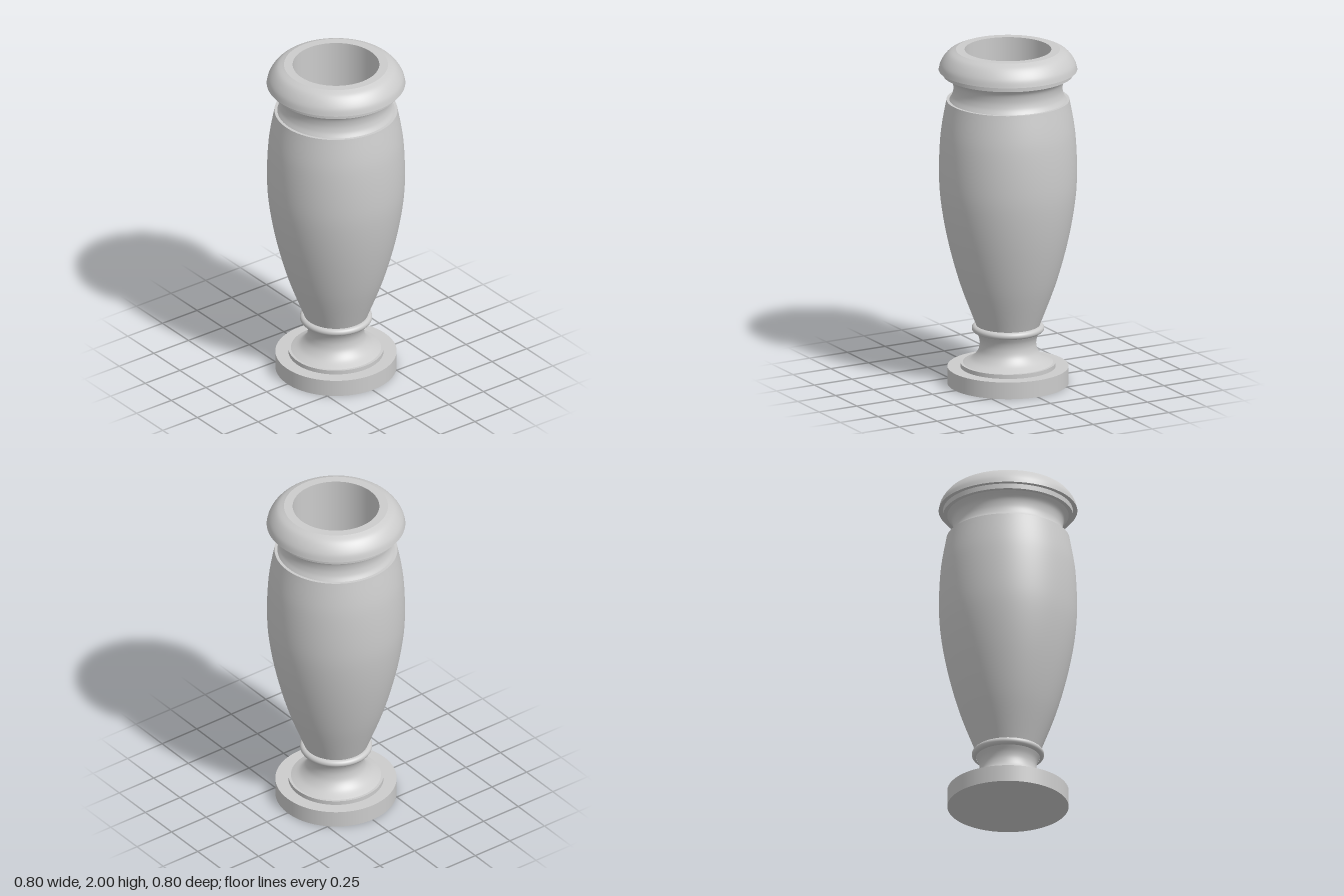
import * as THREE from 'three';

const SEGMENTS = 96;
const material = new THREE.MeshStandardMaterial({ color: 0xcccccc });

// Revolves one smooth run of [radius, height] points; runs go up the outside and down the inside.
function revolve(points, samples) {
  let profile = points.map(([r, y]) => new THREE.Vector2(r, y));
  if (samples) profile = new THREE.SplineCurve(profile).getPoints(samples);
  return new THREE.Mesh(new THREE.LatheGeometry(profile, SEGMENTS), material);
}

// Straight runs are revolved one by one, so every corner stays sharp.
function sharp(points) {
  return points.slice(1).map((p, i) => revolve([points[i], p]));
}

export function createModel() {
  const vase = new THREE.Group();
  vase.name = 'vase';
  const add = (name, ...meshes) => {
    const part = new THREE.Group();
    part.name = name;
    part.add(...meshes);
    vase.add(part);
  };

  // Round plinth with a low step on top
  add('plinth', ...sharp([[0, 0], [0.35, 0], [0.35, 0.1], [0.275, 0.1], [0.275, 0.125], [0.26, 0.125]]));

  // Concave stem flaring out to the plinth
  add('stem', revolve([[0.26, 0.125], [0.21, 0.15], [0.175, 0.19], [0.163, 0.235],
    [0.168, 0.275], [0.185, 0.31]], 24));

  // Rounded bead under the body
  const bead = Array.from({ length: 17 }, (_, i) => {
    const a = -Math.PI / 2 + Math.PI * i / 16;
    return [0.187 + 0.022 * Math.cos(a), 0.33 + 0.021 * Math.sin(a)];
  });
  add('bead', revolve([[0.185, 0.309], ...bead, [0.184, 0.351]]));

  // Swelling body, ending in a narrow ledge
  add('body', revolve([[0.184, 0.35], [0.277, 0.6], [0.345, 0.85], [0.386, 1.08],
    [0.398, 1.27], [0.388, 1.5], [0.355, 1.7]], 48),
  ...sharp([[0.355, 1.7], [0.338, 1.7]]));

  // Concave neck
  add('neck', revolve([[0.338, 1.7], [0.322, 1.73], [0.315, 1.77], [0.323, 1.815], [0.35, 1.85]], 24));

  // Fillet and overhanging rounded rim
  add('rim', ...sharp([[0.35, 1.85], [0.375, 1.85], [0.375, 1.88], [0.4, 1.88]]),
    revolve([[0.4, 1.88], [0.39, 1.918], [0.367, 1.955], [0.338, 1.983], [0.3, 2]], 20),
    ...sharp([[0.3, 2], [0.25, 2]]));

  // Straight bore with a flat floor
  add('bore', ...sharp([[0.25, 2], [0.25, 0.7], [0, 0.7]]));

  return vase;
}
